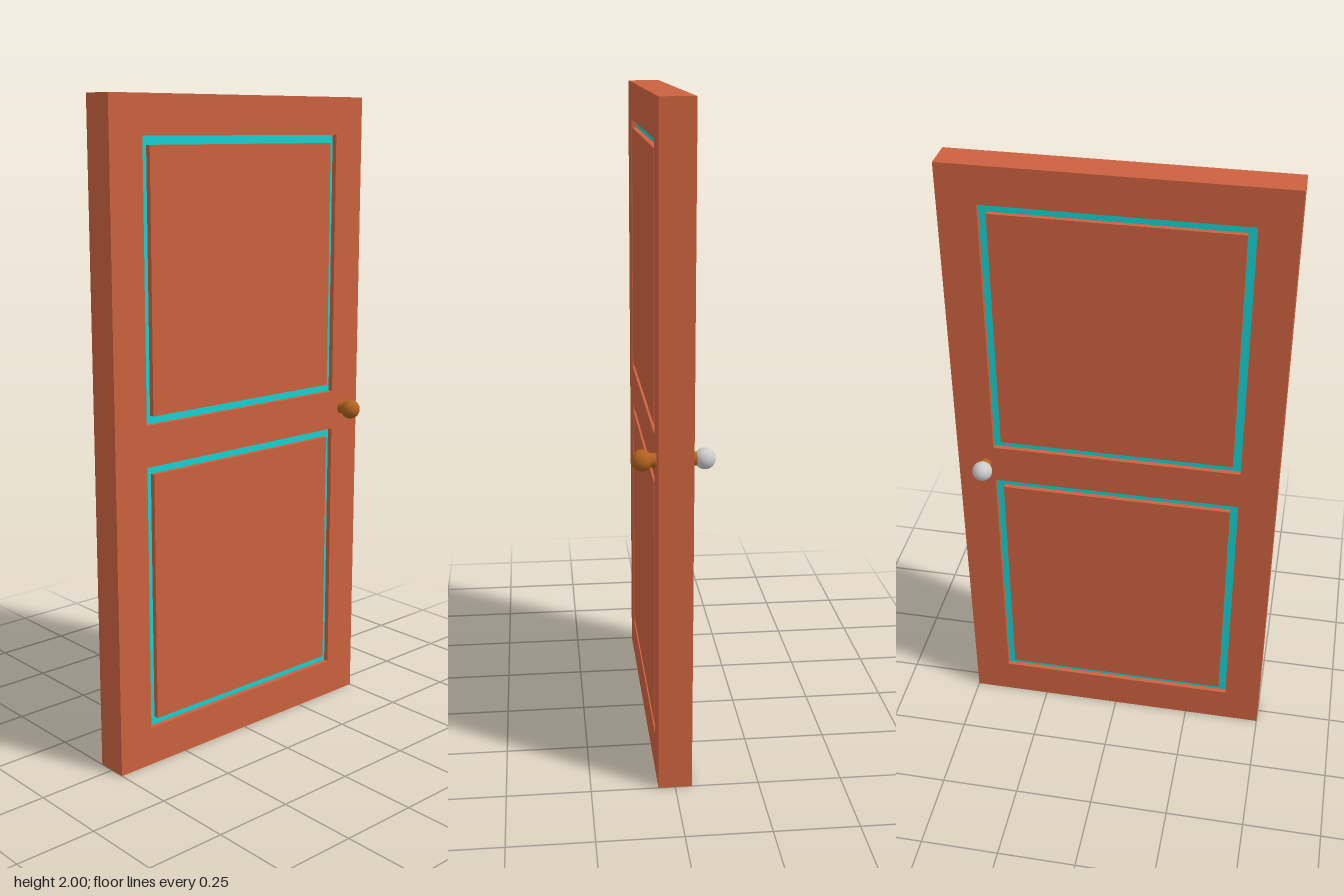
import * as THREE from 'three';

const wood = new THREE.MeshStandardMaterial({ color: 0xcc623e });
const inlay = new THREE.MeshStandardMaterial({ color: 0x14d2d2 });
const bronze = new THREE.MeshStandardMaterial({ color: 0xb0621f });
const grey = new THREE.MeshStandardMaterial({ color: 0xcccccc });

const THICK = 0.1, GROOVE = 0.025, DEPTH = 0.016;
const PANEL_W = 0.77, PANEL_H = 0.82, PANEL_Y = [0.53, 1.475];

function rect(Type, w, h, y) {
  const p = new Type();
  p.moveTo(-w / 2, y - h / 2);
  p.lineTo(w / 2, y - h / 2);
  p.lineTo(w / 2, y + h / 2);
  p.lineTo(-w / 2, y + h / 2);
  p.closePath();
  return p;
}

// Slab cut from a shape, centred on z = 0
function slab(name, shape, depth, material) {
  const geo = new THREE.ExtrudeGeometry(shape, { depth, bevelEnabled: false });
  geo.translate(0, 0, -depth / 2);
  const mesh = new THREE.Mesh(geo, material);
  mesh.name = name;
  return mesh;
}

// Knob on a short stem; side is +1 for the front, -1 for the back
function knob(name, x, y, side, material) {
  const group = new THREE.Group();
  group.name = name;
  const stem = new THREE.Mesh(new THREE.CylinderGeometry(0.02, 0.02, 0.05, 32), bronze);
  stem.name = 'knobStem';
  stem.rotation.x = Math.PI / 2;
  stem.position.z = side * 0.065;
  const ball = new THREE.Mesh(new THREE.SphereGeometry(0.031, 32, 20), material);
  ball.name = 'knobBall';
  ball.position.z = side * 0.09;
  group.add(stem, ball);
  group.position.set(x, y, 0);
  return group;
}

export function createModel() {
  const door = new THREE.Group();
  door.name = 'door';

  // Outer frame with two openings
  const frame = rect(THREE.Shape, 1, 2, 1);
  for (const y of PANEL_Y) frame.holes.push(rect(THREE.Path, PANEL_W, PANEL_H, y));
  door.add(slab('doorFrame', frame, THICK, wood));

  // Flush panels, each surrounded by a recessed coloured groove
  PANEL_Y.forEach((y, i) => {
    const label = i ? 'upper' : 'lower';
    const w = PANEL_W - 2 * GROOVE, h = PANEL_H - 2 * GROOVE;
    const ring = rect(THREE.Shape, PANEL_W, PANEL_H, y);
    ring.holes.push(rect(THREE.Path, w, h, y));
    door.add(slab(label + 'Groove', ring, THICK - 2 * DEPTH, inlay));
    door.add(slab(label + 'Panel', rect(THREE.Shape, w, h, y), THICK, wood));
  });

  // Knobs on both faces
  door.add(knob('frontKnob', 0.431, 1.005, 1, bronze));
  door.add(knob('backKnob', 0.414, 1.0, -1, grey));
  return door;
}
